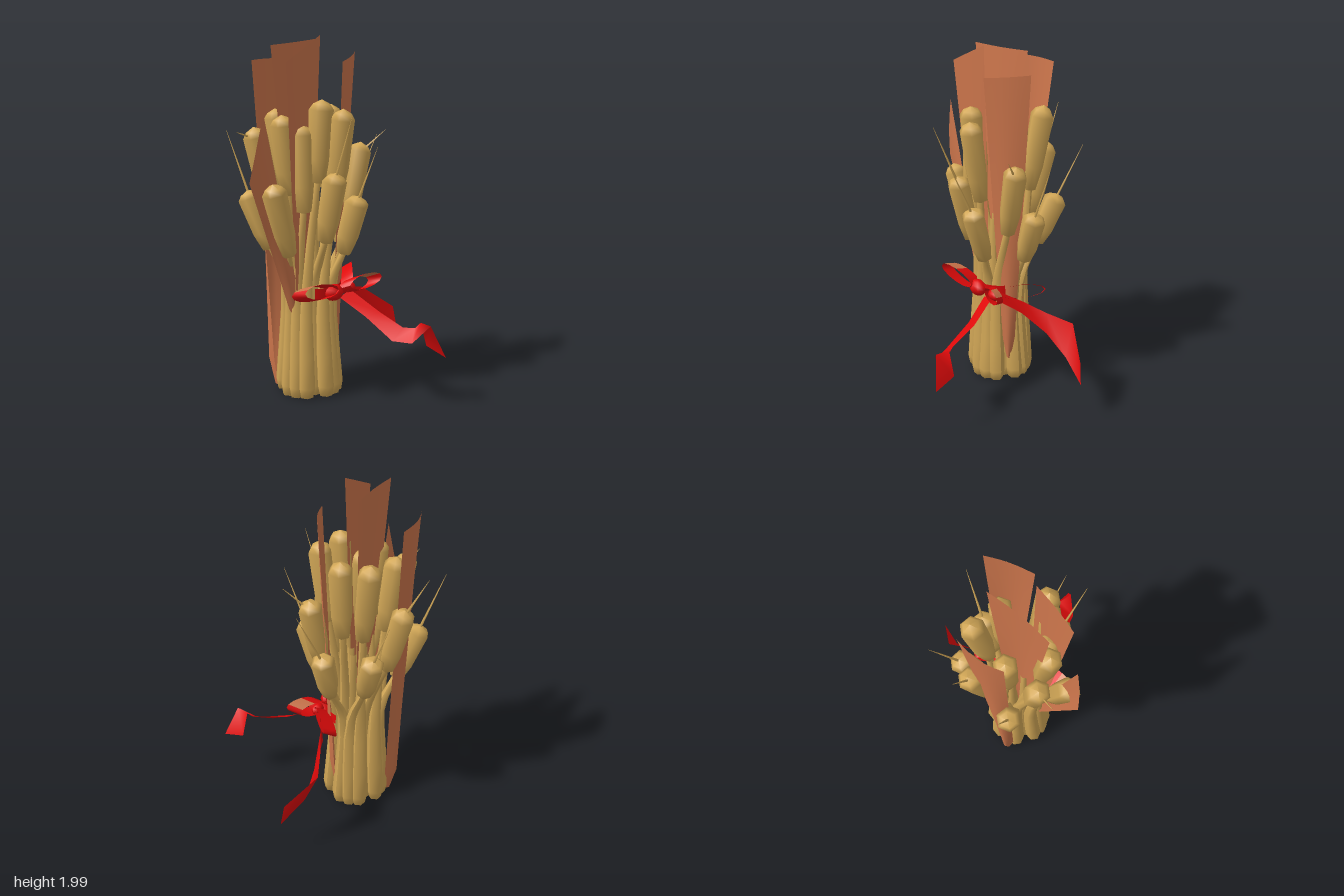
import * as THREE from 'three';

const V = (p) => new THREE.Vector3(...p);
const straw = new THREE.MeshStandardMaterial({ color: 0xd3a857 });
const leafBrown = new THREE.MeshStandardMaterial({ color: 0xcd764c, side: THREE.DoubleSide });
const ribbonRed = new THREE.MeshStandardMaterial({ color: 0xdf0a0a, side: THREE.DoubleSide });
straw.name = 'straw'; leafBrown.name = 'leafBrown'; ribbonRed.name = 'ribbonRed';

const CX = -0.14, CZ = -0.14; // axis of the bundle

function add(group, name, geometry, material) {
  const mesh = new THREE.Mesh(geometry, material);
  mesh.name = name;
  group.add(mesh);
  return mesh;
}

// Grid surface through rows of points
function sheet(rows) {
  const n = rows[0].length, pos = [], idx = [];
  rows.forEach((row, i) => row.forEach((p, j) => {
    pos.push(p.x, p.y, p.z);
    if (i && j) {
      const d = i * n + j, c = d - 1, b = d - n, a = b - 1;
      idx.push(a, b, d, a, d, c);
    }
  }));
  const g = new THREE.BufferGeometry();
  g.setAttribute('position', new THREE.Float32BufferAttribute(pos, 3));
  g.setIndex(idx);
  g.computeVertexNormals();
  return g;
}

// Lathe profile stretched between two points
function between(group, name, a, b, profile, sides, material) {
  const dir = b.clone().sub(a), len = dir.length();
  const pts = profile.map(([r, t]) => new THREE.Vector2(r, t * len));
  const mesh = add(group, name, new THREE.LatheGeometry(pts, sides), material);
  mesh.position.copy(a);
  mesh.quaternion.setFromUnitVectors(new THREE.Vector3(0, 1, 0), dir.normalize());
}

// Tapering stalk along a curve from foot to ear
function stalk(group, foot, waist, top) {
  const curve = new THREE.CatmullRomCurve3([foot, waist, top]);
  const radii = [0.001, 0.038, 0.05, 0.047, 0.04, 0.033, 0.026, 0.022, 0.019];
  const steps = [0, 0.004, 0.05, 0.2, 0.38, 0.52, 0.68, 0.84, 1];
  const rows = radii.map((r, i) => {
    const c = curve.getPoint(steps[i]);
    return Array.from({ length: 7 }, (_, k) => {
      const a = k / 6 * Math.PI * 2;
      return new THREE.Vector3(c.x + r * Math.cos(a), c.y, c.z - r * Math.sin(a));
    });
  });
  add(group, 'stalk', sheet(rows), straw);
}

// Long blade widening from the foot to a slanted cut
function leaf(group, foot, left, right, bulge) {
  const f = V(foot), l = V(left), r = V(right), out = V(bulge);
  const half = r.clone().sub(l).setY(0).setLength(0.03);
  const rows = [];
  for (let i = 0; i <= 12; i++) {
    const t = i / 12;
    const a = f.clone().sub(half).lerp(l, t), b = f.clone().add(half).lerp(r, t), row = [];
    for (let j = 0; j <= 6; j++) {
      const u = j / 6;
      row.push(a.clone().lerp(b, u).addScaledVector(out, Math.sin(u * Math.PI) * (1 - 0.6 * t)));
    }
    if (i === 0) row.forEach((p) => p.lerp(f, 0.6));
    rows.push(row);
  }
  add(group, 'leaf', sheet(rows), leafBrown);
}

export function createModel() {
  const model = new THREE.Group();
  model.name = 'wheatSheaf';

  // Ears in order around the bundle: base, tip, optional awn tip
  const ears = [
    [[0.09, 0.82, -0.13], [0.18, 1.12, -0.14], [0.34, 1.43, -0.105]],
    [[-0.01, 1.15, -0.13], [0.02, 1.62, -0.13]],
    [[0.06, 0.99, -0.04], [0.15, 1.41, -0.03], [0.23, 1.48, 0.08]],
    [[-0.04, 0.82, 0.04], [-0.02, 1.15, 0.14], [-0.01, 1.43, 0.28]],
    [[-0.09, 1.15, 0.03], [-0.09, 1.62, 0.1]],
    [[-0.17, 0.9, 0.04], [-0.17, 1.29, 0.13], [-0.18, 1.6, 0.27]],
    [[-0.19, 1.22, 0.0], [-0.18, 1.67, 0.03]],
    [[-0.26, 1.06, -0.03], [-0.26, 1.54, -0.045]],
    [[-0.33, 0.83, -0.07], [-0.46, 1.24, -0.04]],
    [[-0.29, 1.15, -0.11], [-0.35, 1.59, -0.1]],
    [[-0.34, 1.08, -0.21], [-0.43, 1.52, -0.24], [-0.54, 1.5, -0.24]],
    [[-0.28, 0.82, -0.3], [-0.37, 1.15, -0.39], [-0.43, 1.48, -0.49]],
    [[-0.21, 1.15, -0.26], [-0.24, 1.6, -0.3]],
    [[-0.13, 0.97, -0.34], [-0.12, 1.39, -0.45], [-0.16, 1.59, -0.56]],
    [[-0.03, 1.17, -0.25], [0.01, 1.66, -0.32]],
    [[0.0, 0.85, -0.29], [0.06, 1.14, -0.39], [0.11, 1.42, -0.52]],
  ];
  const earProfile = [[0, 0], [0.042, 0.02], [0.06, 0.3], [0.067, 0.88], [0.045, 0.95], [0, 1]];
  ears.forEach(([base, tip, awn], i) => {
    const wheat = new THREE.Group();
    wheat.name = 'wheatStem';
    const a = -i / ears.length * Math.PI * 2; // turns from +x through +z
    const r = i % 4 === 1 ? 0.09 : 0.145;
    const foot = new THREE.Vector3(CX + r * Math.cos(a), 0.01, CZ - r * Math.sin(a));
    const waist = new THREE.Vector3(CX + r * 0.86 * Math.cos(a), 0.6, CZ - r * 0.86 * Math.sin(a));
    stalk(wheat, foot, waist, V(base).lerp(V(tip), 0.06));
    between(wheat, 'ear', V(base), V(tip), earProfile, 6, straw);
    if (awn) between(wheat, 'awn', V(base).lerp(V(tip), 0.85), V(awn), [[0.009, 0], [0.001, 1]], 4, straw);
    model.add(wheat);
  });
  // Short stalks filling the middle
  for (let i = 0; i < 4; i++) {
    const x = CX + 0.05 * Math.cos(i * 1.57), z = CZ + 0.05 * Math.sin(i * 1.57);
    stalk(model, new THREE.Vector3(x, 0.02, z), new THREE.Vector3(x, 0.5, z), new THREE.Vector3(x, 1, z));
  }

  // Tall dry leaves: foot, two top corners, direction of the bulge
  leaf(model, [-0.21, 0.1, -0.1], [-0.39, 1.87, -0.005], [-0.14, 2.0, -0.03], [0, 0, 0.015]);
  leaf(model, [-0.15, 0.15, -0.15], [-0.38, 1.95, -0.145], [-0.01, 1.97, -0.22], [0.02, 0, 0.03]);
  leaf(model, [0.0, 0.15, -0.1], [-0.045, 1.86, 0.04], [0.17, 1.9, -0.105], [0.02, 0, 0.02]);
  leaf(model, [-0.24, 0.02, -0.29], [-0.075, 1.86, -0.45], [-0.335, 1.86, -0.375], [-0.03, 0, -0.05]);
  leaf(model, [-0.25, 0.45, -0.1], [-0.57, 1.25, -0.09], [-0.5, 1.61, -0.055], [-0.01, 0, 0.015]);

  // Ribbon
  const ribbon = new THREE.Group();
  ribbon.name = 'ribbon';
  model.add(ribbon);
  const strip = (name, a, b) => add(ribbon, name, sheet(a.map((p, i) => [V(p), V(b[i])])), ribbonRed);

  // Band across the front of the bundle
  const band = add(ribbon, 'band', new THREE.CylinderGeometry(0.18, 0.18, 0.06, 12, 1, true, -0.5, 2.0), ribbonRed);
  band.position.set(CX, 0.615, CZ);

  // Knots
  for (const [x, z, s] of [[-0.11, 0.04, 1], [0.02, 0.02, 0.7]]) {
    const knot = add(ribbon, 'knot', new THREE.SphereGeometry(0.055, 8, 6), ribbonRed);
    knot.position.set(x, 0.61, z);
    knot.scale.set(1.1 * s, 0.85 * s, 0.8 * s);
  }

  // Bow loops: start point, far end, half-width direction; the front pair has a brown patch on top
  const loops = [
    [[-0.12, 0.62, 0.04], [-0.38, 0.65, 0.07], [0.01, 0.015, 0.045], true],
    [[-0.03, 0.62, 0.03], [0.16, 0.65, 0.08], [0.02, 0.015, 0.035], true],
    [[0.02, 0.61, 0.0], [0.19, 0.65, -0.21], [0.03, 0.02, 0.02], false],
  ];
  for (const [from, to, w, patched] of loops) {
    const rows = [];
    for (let i = 0; i <= 12; i++) {
      const a = i / 12 * Math.PI * 2;
      const p = V(from).lerp(V(to), (1 - Math.cos(a)) / 2);
      p.y += 0.042 * Math.sin(a);
      rows.push([p.clone().sub(V(w)), p.clone().add(V(w))]);
    }
    if (patched) {
      add(ribbon, 'bowLoopStart', sheet(rows.slice(0, 4)), ribbonRed);
      add(ribbon, 'bowLoopPatch', sheet(rows.slice(3, 6)), leafBrown);
      add(ribbon, 'bowLoopEnd', sheet(rows.slice(5)), ribbonRed);
    } else add(ribbon, 'bowLoop', sheet(rows), ribbonRed);
  }

  // Tails
  strip('sideTail',
    [[0.02, 0.63, 0.0], [0.14, 0.58, -0.1], [0.24, 0.53, -0.18], [0.37, 0.49, -0.27], [0.55, 0.35, -0.18]],
    [[0.02, 0.57, 0.0], [0.12, 0.5, -0.1], [0.27, 0.42, -0.16], [0.4, 0.31, -0.2], [0.57, 0.23, -0.17]]);
  strip('frontTail',
    [[-0.06, 0.57, 0.03], [0.0, 0.48, 0.18], [0.03, 0.38, 0.36], [0.08, 0.38, 0.46], [0.17, 0.47, 0.51], [0.24, 0.29, 0.56]],
    [[0.02, 0.6, 0.03], [0.08, 0.5, 0.2], [0.11, 0.44, 0.36], [0.15, 0.44, 0.41], [0.175, 0.47, 0.43], [0.22, 0.33, 0.43]]);
  return model;
}
